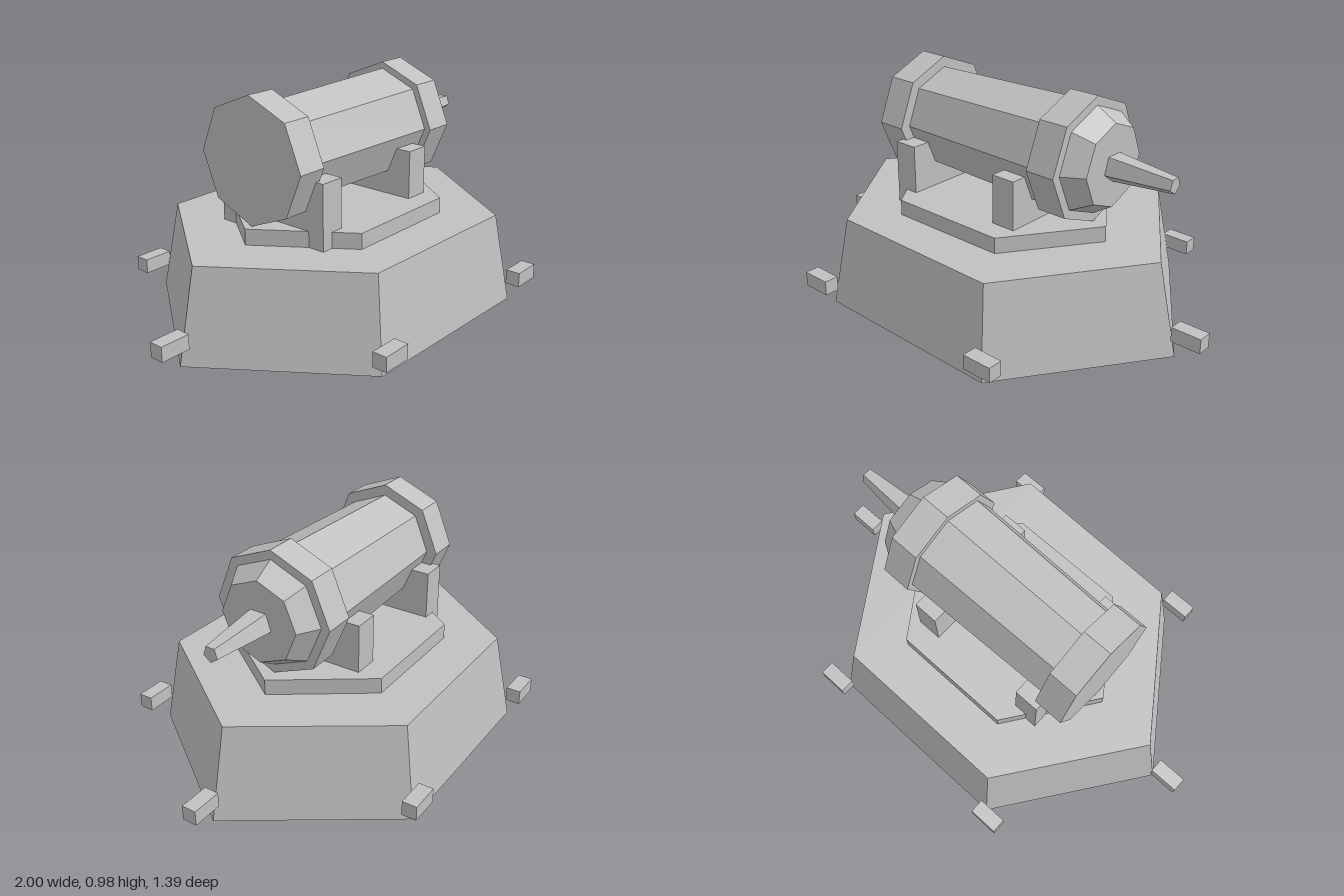
import * as THREE from 'three';
import { ConvexGeometry } from 'three/addons/geometries/ConvexGeometry.js';

export function createModel() {
  const model = new THREE.Group();
  model.name = 'turret';
  const grey = new THREE.MeshStandardMaterial({ color: 0xc0c0c0 });
  grey.name = 'light grey';
  grey.flatShading = true;

  function add(name, geometry, x = 0, y = 0, z = 0, parent = model) {
    const mesh = new THREE.Mesh(geometry, grey);
    mesh.name = name;
    mesh.position.set(x, y, z);
    parent.add(mesh);
    return mesh;
  }

  // Solid between a lower and an upper outline, given as [x, z] corners
  function frustum(lower, upper, y0, y1) {
    return new ConvexGeometry([
      ...lower.map(([x, z]) => new THREE.Vector3(x, y0, z)),
      ...upper.map(([x, z]) => new THREE.Vector3(x, y1, z)),
    ]);
  }

  // Six-sided sloping base
  add('base', frustum(
    [[0.875, 0], [0.43, 0.63], [-0.45, 0.615], [-0.885, -0.01], [-0.43, -0.635], [0.445, -0.635]],
    [[0.785, 0], [0.39, 0.57], [-0.405, 0.555], [-0.8, -0.01], [-0.39, -0.57], [0.4, -0.57]],
    0, 0.385));

  // Six-sided plate under the barrel
  const plate = [[0.523, 0], [0.263, 0.37], [-0.27, 0.37], [-0.53, -0.005], [-0.265, -0.374], [0.263, -0.374]];
  add('plate', frustum(plate, plate, 0.38, 0.452));

  // Cross blocks carrying the barrel
  for (const x of [-0.333, 0.22]) {
    add('cradle', new THREE.BoxGeometry(0.109, 0.275, 0.55), x, 0.5225, 0);
  }

  // Barrel sections along x: name, start, end, start radius, end radius, sides
  const barrel = new THREE.Group();
  barrel.name = 'barrel';
  barrel.position.y = 0.717;
  model.add(barrel);
  const sections = [
    ['rearRing', -0.497, -0.367, 0.263, 0.263, 8],
    ['barrelBody', -0.37, 0.33, 0.217, 0.234, 8],
    ['frontRing', 0.327, 0.458, 0.263, 0.263, 8],
    ['muzzle', 0.455, 0.545, 0.227, 0.173, 8],
    ['nozzle', 0.54, 0.82, 0.062, 0.034, 5],
  ];
  for (const [name, x0, x1, r0, r1, sides] of sections) {
    const g = new THREE.CylinderGeometry(r1, r0, x1 - x0, sides, 1, false, Math.PI / 2);
    g.rotateZ(-Math.PI / 2);
    add(name, g, (x0 + x1) / 2, sides === 5 ? -0.004 : 0, 0, barrel);
  }

  // Small pegs around the base corners
  const pegs = [[0.935, 0], [0.467, 0.663], [-0.467, 0.663], [-0.935, 0], [-0.467, -0.663], [0.467, -0.663]];
  for (const [x, z] of pegs) {
    add('peg', new THREE.BoxGeometry(0.13, 0.063, 0.063), x, 0.114, z);
  }
  return model;
}
